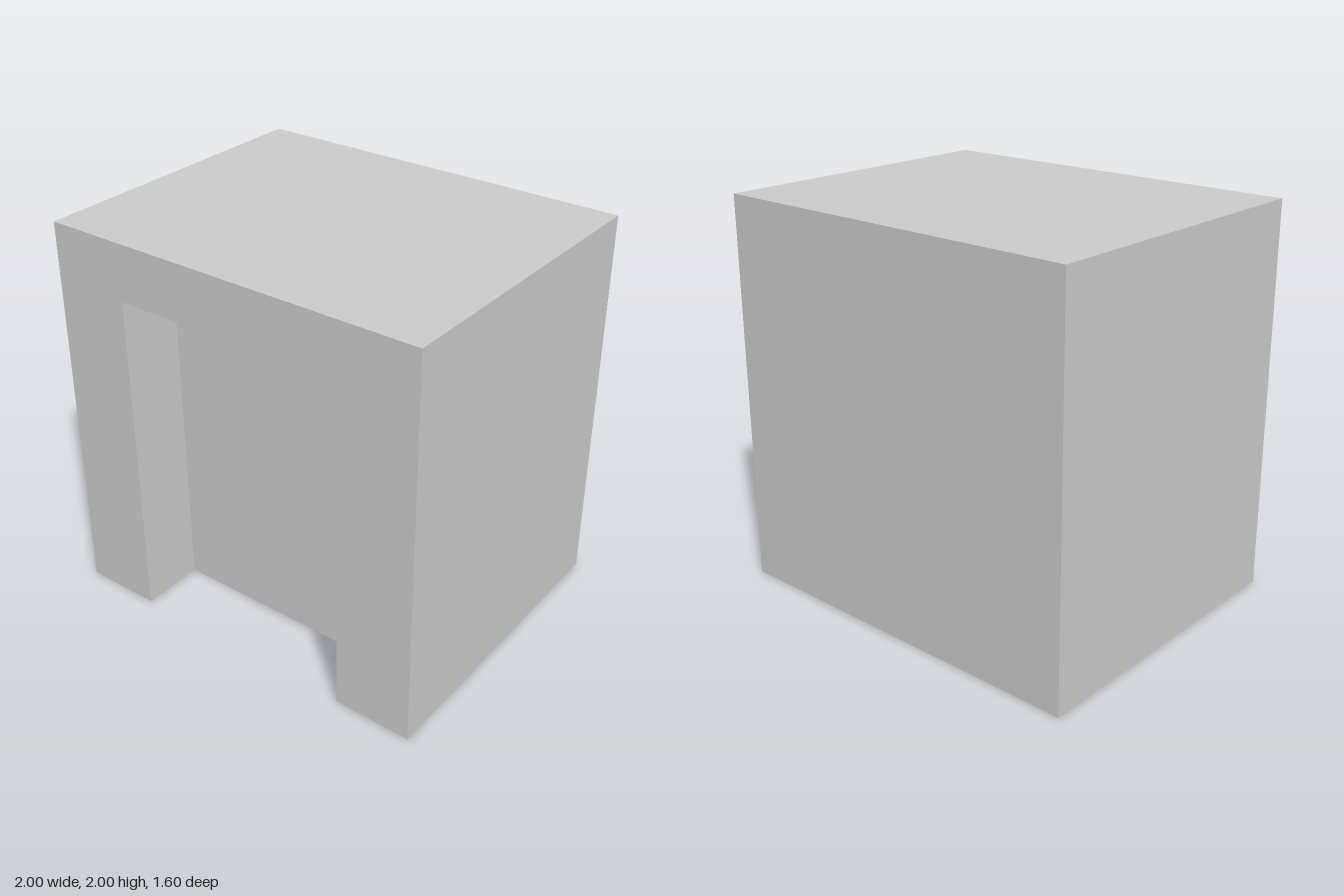
import * as THREE from 'three';

const W = 1, H = 2, D = 0.8;                 // half width, height, half depth
const OW = 0.6, OH = 1.715, PZ = 0.47;       // opening half width, height, panel z

export function createModel() {
  const group = new THREE.Group();
  const material = new THREE.MeshStandardMaterial({ color: 0xcccccc, side: THREE.DoubleSide, flatShading: true });

  // Thin flat sheet, turned by rx / ry and placed at its centre
  function sheet(name, w, h, [x, y, z], rx = 0, ry = 0) {
    const mesh = new THREE.Mesh(new THREE.PlaneGeometry(w, h), material);
    mesh.name = name;
    mesh.position.set(x, y, z);
    mesh.rotation.set(rx, ry, 0);
    group.add(mesh);
  }

  // Front face: an arch outline around the square opening
  const outline = new THREE.Shape([
    [-W, 0], [-OW, 0], [-OW, OH], [OW, OH], [OW, 0], [W, 0], [W, H], [-W, H],
  ].map(([x, y]) => new THREE.Vector2(x, y)));
  const front = new THREE.Mesh(new THREE.ShapeGeometry(outline), material);
  front.name = 'frontFrame';
  front.position.z = D;
  group.add(front);

  // Hollow outer shell
  sheet('backWall', 2 * W, H, [0, H / 2, -D], 0, Math.PI);
  sheet('roof', 2 * W, 2 * D, [0, H, 0], -Math.PI / 2);

  // Recessed panel and the lintel underside above it
  const depth = D - PZ, midZ = (D + PZ) / 2;
  sheet('recessPanel', 2 * OW, OH, [0, OH / 2, PZ]);
  sheet('lintelUnderside', 2 * OW, depth, [0, OH, midZ], Math.PI / 2);

  // Side walls, opening jambs and base strips, mirrored
  for (const [side, s] of [['left', 1], ['right', -1]]) {
    sheet(side + 'Wall', 2 * D, H, [s * W, H / 2, 0], 0, s * Math.PI / 2);
    sheet(side + 'Jamb', depth, OH, [s * OW, OH / 2, midZ], 0, -s * Math.PI / 2);
    sheet(side + 'BaseStrip', W - OW, 2 * D, [s * (W + OW) / 2, 0, 0], Math.PI / 2);
  }
  return group;
}
